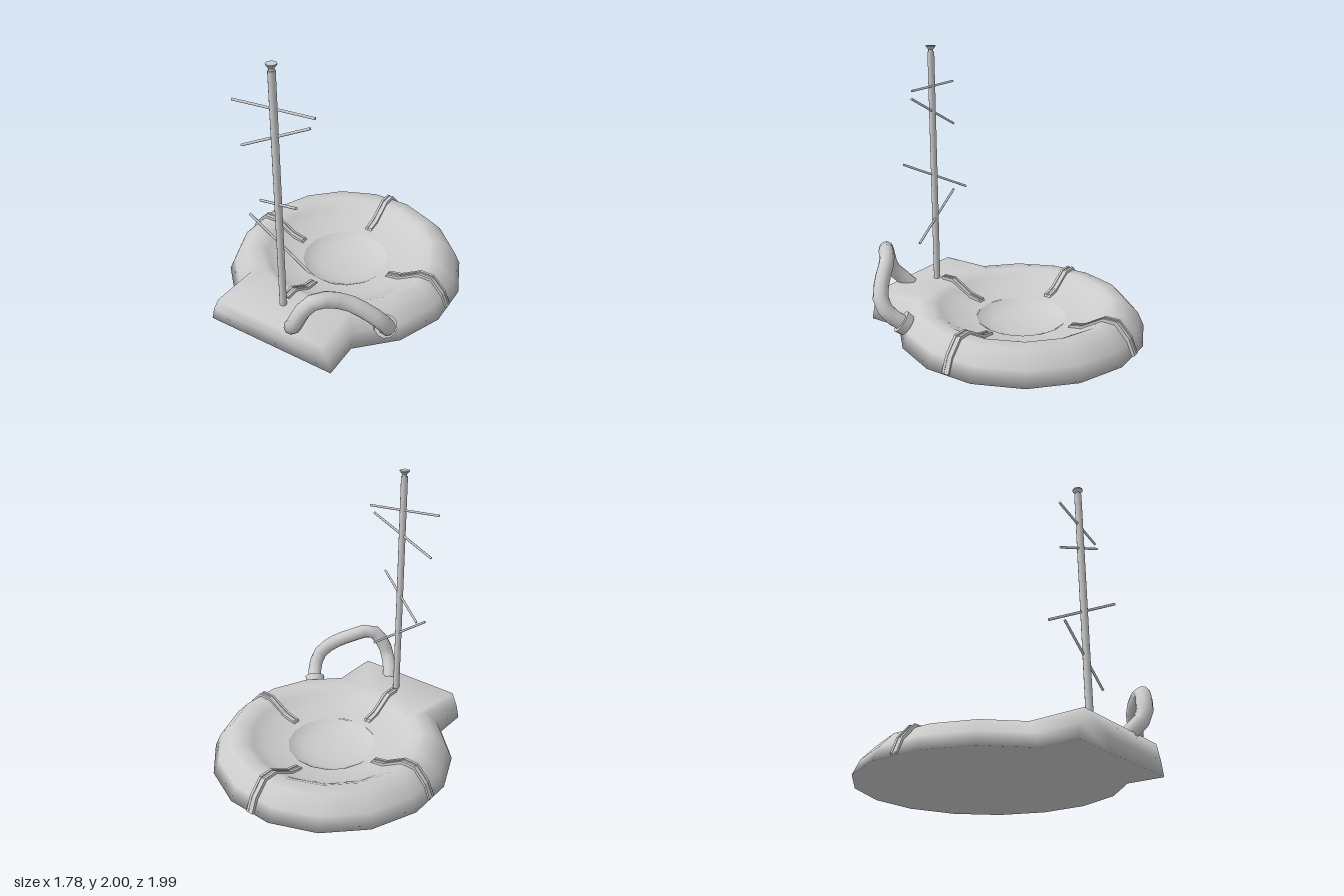
import * as THREE from 'three';

const CZ = -0.1; // centre of the round dish along z
const mat = new THREE.MeshStandardMaterial({ color: 0xcccccc });
const V = (x, y, z) => new THREE.Vector3(x, y, z);

function add(parent, name, geometry) {
  const mesh = new THREE.Mesh(geometry, mat);
  mesh.name = name;
  parent.add(mesh);
  return mesh;
}

// Cylinder running between two points
function rod(parent, name, a, b, r0, r1 = r0, sides = 12) {
  const dir = b.clone().sub(a);
  const mesh = add(parent, name, new THREE.CylinderGeometry(r1, r0, dir.length(), sides));
  mesh.position.copy(a).add(b).multiplyScalar(0.5);
  mesh.quaternion.setFromUnitVectors(V(0, 1, 0), dir.normalize());
}

// Sixteen-sided body: flat underside, sloped skirt, flat crest, sunken dish, front ledge
function bodyGeometry() {
  const rings = [[0.9, 0], [0.855, 0.1], [0.76, 0.2], [0.66, 0.2], [0.6, 0.165], [0.5, 0.105], [0.33, 0.08]];
  const ledgeX = [0.5, 0.475, 0.43]; // ledge corner x on the three outer rings
  const step = Math.PI / 8;
  const columns = [];
  for (let i = 0; i < 16; i++) columns.push({ a: (i + 0.5) * step });
  columns[0].front = 0.36;
  columns[15].front = -0.36;
  columns.splice(1, 0, { a: step, front: 1 });
  columns.splice(16, 0, { a: -step, front: -1 });

  const pos = [], index = [];
  for (const { a, front } of columns) {
    rings.forEach(([r, y], k) => {
      if (front && k < 3) pos.push(front * ledgeX[k], y, 0.91);
      else pos.push(r * Math.sin(a), y, CZ + r * Math.cos(a));
    });
  }
  const n = rings.length;
  const centre = columns.length * n;
  pos.push(0, 0, CZ);
  for (let c = 0; c < columns.length; c++) {
    const d = (c + 1) % columns.length;
    index.push(centre, d * n, c * n);
    for (let k = 0; k < n - 1; k++) {
      const p = c * n + k, q = d * n + k;
      index.push(p, q, p + 1, q, q + 1, p + 1);
    }
  }
  const g = new THREE.BufferGeometry();
  g.setAttribute('position', new THREE.Float32BufferAttribute(pos, 3));
  g.setIndex(index);
  g.computeVertexNormals();
  return g;
}

// Strap following the rim section; two raised bands on a thinner web
function strap(parent, name, angle, x, z, path) {
  const group = new THREE.Group();
  group.name = name;
  const band = (lift, width, offset) => {
    const shape = new THREE.Shape();
    path.forEach(([r, y], i) => (i ? shape.lineTo(r, y + lift) : shape.moveTo(r, y + lift)));
    [...path].reverse().forEach(([r, y]) => shape.lineTo(r - 0.02, Math.max(y - 0.025, 0.005)));
    const g = new THREE.ExtrudeGeometry(shape, { depth: width, bevelEnabled: false });
    g.translate(0, 0, offset - width / 2);
    add(group, name + 'Band', g);
  };
  band(0, 0.054, 0);
  band(0.008, 0.018, 0.018);
  band(0.008, 0.018, -0.018);
  group.rotation.y = angle;
  group.position.set(x, 0, z);
  parent.add(group);
}

export function createModel() {
  const model = new THREE.Group();
  model.name = 'dishWithMast';

  add(model, 'dishBody', bodyGeometry());

  // Round bowl sunk into the middle of the dish
  const bowl = [[0.33, 0.08], [0.29, 0.05], [0.22, 0.025], [0.12, 0.01], [0, 0.005]];
  const bowlMesh = add(model, 'centreBowl',
    new THREE.LatheGeometry(bowl.map(([r, y]) => new THREE.Vector2(r, y)), 16, Math.PI / 16));
  bowlMesh.position.z = CZ;

  // Four straps around the rim; the front one stops at the ledge
  const path = [[0.39, 0.1], [0.49, 0.122], [0.59, 0.182], [0.645, 0.215], [0.75, 0.215], [0.845, 0.115], [0.888, 0.01]];
  strap(model, 'rightStrap', Math.PI, 0, -0.095, path);
  strap(model, 'leftStrap', 0, 0, -0.078, path);
  strap(model, 'backStrap', Math.PI / 2, -0.02, CZ - 0.01, path);
  strap(model, 'frontStrap', -Math.PI / 2, -0.04, CZ, path.slice(0, 5));

  // Mast with a flared top
  rod(model, 'mast', V(-0.02, 0.18, 0.7), V(-0.02, 1.955, 0.7), 0.025);
  rod(model, 'mastNeck', V(-0.02, 1.95, 0.7), V(-0.02, 1.972, 0.7), 0.018);
  rod(model, 'mastFlare', V(-0.02, 1.97, 0.7), V(-0.02, 1.992, 0.7), 0.018, 0.036);
  rod(model, 'mastTop', V(-0.02, 1.992, 0.7), V(-0.02, 2, 0.7), 0.036);

  // Thin crossbars through the mast
  const bars = [
    [V(-0.31, 1.712, 0.73), V(0.25, 1.7, 0.66)],
    [V(-0.28, 1.39, 0.705), V(0.23, 1.64, 0.685)],
    [V(-0.26, 0.91, 0.58), V(0.2, 1.14, 0.81)],
    [V(-0.26, 0.87, 0.7), V(0.2, 0.55, 0.68)],
  ];
  bars.forEach(([a, b]) => rod(model, 'crossbar', a, b, 0.009, 0.009, 8));

  // Bent hose from the ledge over to the rim
  const hose = new THREE.CatmullRomCurve3([
    V(0.14, 0.17, 0.83), V(0.17, 0.22, 0.87), V(0.24, 0.32, 0.93), V(0.29, 0.44, 0.92), V(0.37, 0.53, 0.865),
    V(0.5, 0.49, 0.74), V(0.63, 0.41, 0.67), V(0.72, 0.31, 0.61), V(0.72, 0.21, 0.54), V(0.65, 0.13, 0.455),
  ]);
  add(model, 'hose', new THREE.TubeGeometry(hose, 14, 0.055, 10));
  rod(model, 'hoseCollar', V(0.668, 0.15, 0.475), V(0.638, 0.115, 0.442), 0.082, 0.076);

  return model;
}
